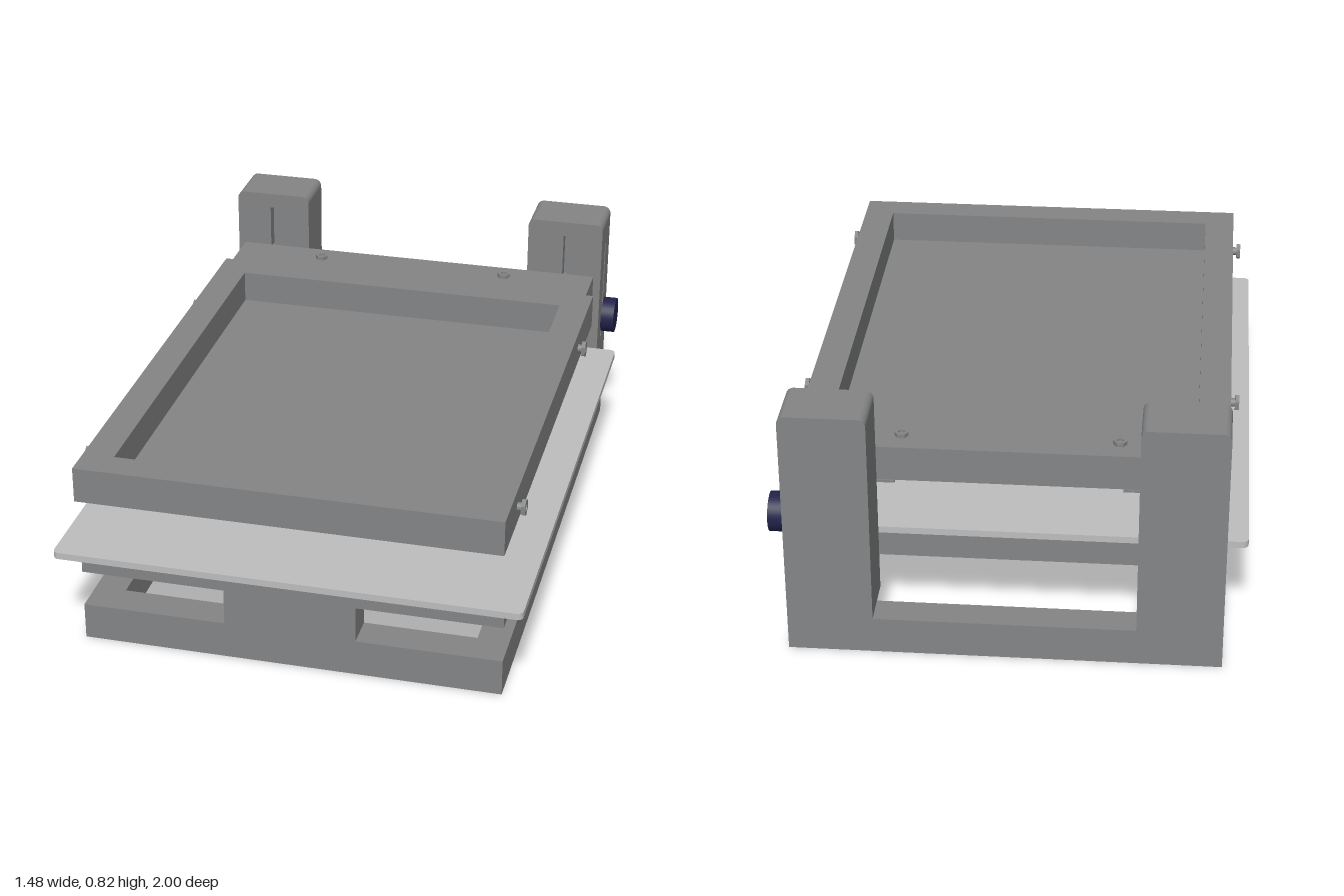
import * as THREE from 'three';

export function createModel() {
  const root = new THREE.Group();
  root.name = 'screenPrintingPress';
  const paint = (name, color) => {
    const m = new THREE.MeshStandardMaterial({ color });
    m.name = name;
    return m;
  };
  const gray = paint('bodyGray', 0x848586);
  const light = paint('plateLightGray', 0xbebebe);
  const navy = paint('knobNavy', 0x22224a);

  const add = (name, geo, mat = gray, parent = root) => {
    const m = new THREE.Mesh(geo, mat);
    m.name = name;
    parent.add(m);
    return m;
  };
  // Box given by its limits on each axis
  const box = (name, x0, x1, y0, y1, z0, z1, mat, parent) =>
    add(name, new THREE.BoxGeometry(x1 - x0, y1 - y0, z1 - z0)
      .translate((x0 + x1) / 2, (y0 + y1) / 2, (z0 + z1) / 2), mat, parent);

  // Rectangle outline; rt and rb are the radii of the top and bottom corners
  const rect = (path, x0, x1, y0, y1, rt = 0, rb = 0) => {
    path.moveTo(x0 + rb, y0).lineTo(x1 - rb, y0);
    if (rb) path.absarc(x1 - rb, y0 + rb, rb, -Math.PI / 2, 0);
    path.lineTo(x1, y1 - rt);
    if (rt) path.absarc(x1 - rt, y1 - rt, rt, 0, Math.PI / 2);
    path.lineTo(x0 + rt, y1);
    if (rt) path.absarc(x0 + rt, y1 - rt, rt, Math.PI / 2, Math.PI);
    path.lineTo(x0, y0 + rb);
    if (rb) path.absarc(x0 + rb, y0 + rb, rb, Math.PI, Math.PI * 1.5);
    return path;
  };
  const extrude = (shape, depth) =>
    new THREE.ExtrudeGeometry(shape, { depth, bevelEnabled: false, curveSegments: 6 });

  // Horizontal rectangular ring; shape y stands for -z
  const ring = (name, outer, inner, y, h) => {
    const s = rect(new THREE.Shape(), ...outer);
    s.holes.push(rect(new THREE.Path(), ...inner));
    return add(name, extrude(s, h).rotateX(-Math.PI / 2).translate(0, y, 0));
  };

  // Base: bottom ring, spacer blocks and table slab
  ring('baseFrame', [-0.67, 0.67, -0.93, 1], [-0.57, 0.57, -0.82, 0.9], 0, 0.12);
  box('frontSpacer', -0.21, 0.21, 0.12, 0.24, 0.82, 0.93);
  for (const s of [-1, 1]) {
    for (const [z0, z1] of [[0.25, 0.53], [-0.6, -0.35]]) {
      box('sideSpacer', s * 0.62 - 0.05, s * 0.62 + 0.05, 0.12, 0.24, z0, z1);
    }
  }
  box('tableSlab', -0.67, 0.67, 0.24, 0.32, -0.82, 0.93);

  // Light print plate with rounded corners
  add('printPlate', extrude(rect(new THREE.Shape(), -0.738, 0.738, -1, 0.82, 0.02, 0.02), 0.022)
    .rotateX(-Math.PI / 2).translate(0, 0.32, 0), light);

  // Screen frame with a thin floor
  ring('screenFrame', [-0.67, 0.67, -0.96, 0.655], [-0.57, 0.57, -0.86, 0.55], 0.51, 0.115);
  box('screenSheet', -0.57, 0.57, 0.511, 0.518, -0.55, 0.86);

  // Carrier bar behind the screen
  box('carrierBar', -0.645, 0.645, 0.51, 0.625, -0.815, -0.655);

  // Towers: core, slotted front and outer panels, rounded cap
  for (const s of [-1, 1]) {
    const tower = new THREE.Group();
    tower.name = s > 0 ? 'leftTower' : 'rightTower';
    root.add(tower);
    const inX = s * 0.405, midX = s * 0.63, outX = s * 0.67;
    const x0 = Math.min(inX, outX), x1 = Math.max(inX, outX);
    box('towerCore', Math.min(inX, midX), Math.max(inX, midX), 0.12, 0.78, -1, -0.86, gray, tower);

    const front = rect(new THREE.Shape(), x0, x1, 0.12, 0.78);
    front.holes.push(rect(new THREE.Path(), s * 0.54 - 0.008, s * 0.54 + 0.008, 0.13, 0.77));
    add('towerFront', extrude(front, 0.04).translate(0, 0, -0.86), gray, tower);

    const side = rect(new THREE.Shape(), 0.86, 1, 0.12, 0.78);
    if (s > 0) side.holes.push(rect(new THREE.Path(), 0.902, 0.918, 0.35, 0.72, 0.007, 0.007));
    add('towerSide', extrude(side, 0.04).rotateY(Math.PI / 2)
      .translate(Math.min(midX, outX), 0, 0), gray, tower);

    add('towerCap', extrude(rect(new THREE.Shape(), x0, x1, 0.78, 0.822, 0.025), 0.18)
      .translate(0, 0, -1), gray, tower);

    // Bracket under the bar and guide tongue in the slot
    box('barBracket', s * 0.455 - 0.105, s * 0.455 + 0.105, 0.502, 0.51, -0.819, -0.78);
    box('guideTongue', s * 0.54 - 0.007, s * 0.54 + 0.007, 0.52, 0.615, -0.85, -0.81);
  }

  // Clamping knob and its stem
  const rod = (r, len, sides) => new THREE.CylinderGeometry(r, r, len, sides);
  add('clampKnob', rod(0.062, 0.046, 40).rotateZ(Math.PI / 2), navy).position.set(0.697, 0.44, -0.91);
  add('knobStem', rod(0.008, 0.06, 16).rotateZ(Math.PI / 2)).position.set(0.65, 0.44, -0.91);

  // Hex screw pointing along +y, with a shank and a recessed socket rim
  const screw = (name, r, gap) => {
    const g = new THREE.Group();
    g.name = name;
    add('shank', rod(r * 0.5, gap + 0.01, 16).translate(0, gap / 2 - 0.005, 0), gray, g);
    const head = new THREE.Shape();
    for (let i = 0; i < 6; i++) {
      const a = i * Math.PI / 3;
      head[i ? 'lineTo' : 'moveTo'](r * Math.cos(a), r * Math.sin(a));
    }
    head.holes.push(new THREE.Path().absarc(0, 0, r * 0.5, 0, Math.PI * 2));
    add('head', extrude(head, 0.013).rotateX(-Math.PI / 2).translate(0, gap, 0), gray, g);
    add('socketFloor', rod(r * 0.5, 0.006, 16).translate(0, gap + 0.004, 0), gray, g);
    root.add(g);
    return g;
  };
  for (const s of [-1, 1]) {
    screw('barScrew', 0.022, 0).position.set(s * 0.335, 0.625, -0.74);
    for (const z of [0.76, -0.35]) {
      const g = screw('frameScrew', 0.028, 0.014);
      g.position.set(s * 0.67, 0.567, z);
      g.rotation.z = -s * Math.PI / 2;
    }
  }
  return root;
}
